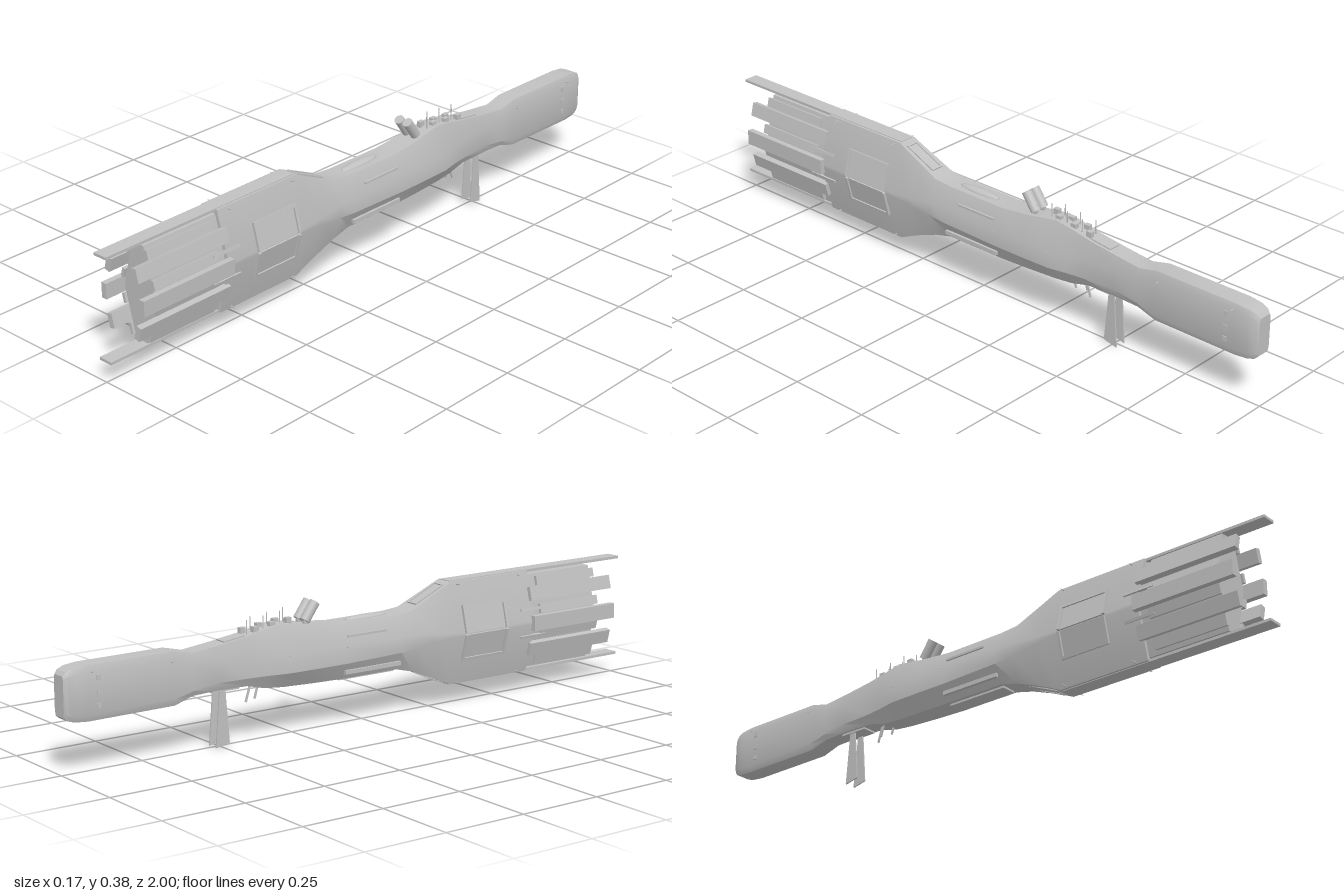
import * as THREE from 'three';
import { toCreasedNormals } from 'three/addons/utils/BufferGeometryUtils.js';

const hullGrey = new THREE.MeshStandardMaterial({ color: 0xc0c0c0 });
hullGrey.name = 'hull grey';

// Lofts eight-sided sections [z, top, bottom, topHalfWidth, midHalfWidth, shoulderY, hipY], front to back
function loft(sections) {
  const pos = [];
  const rings = sections.map(([z, t, b, wt, wm, sh, hip]) =>
    [[wt, t], [-wt, t], [-wm, sh], [-wm, hip], [-wt, b], [wt, b], [wm, hip], [wm, sh]].map(([x, y]) => [x, y, z]));
  const tri = (...p) => p.forEach(v => pos.push(...v));
  for (let r = 0; r < rings.length - 1; r++) {
    for (let i = 0; i < 8; i++) {
      const j = (i + 1) % 8, a = rings[r], b = rings[r + 1];
      tri(a[i], b[i], a[j]);
      tri(a[j], b[i], b[j]);
    }
  }
  const first = rings[0], last = rings[rings.length - 1];
  for (let i = 1; i < 7; i++) {
    tri(first[0], first[i], first[i + 1]);
    tri(last[0], last[i + 1], last[i]);
  }
  const g = new THREE.BufferGeometry();
  g.setAttribute('position', new THREE.Float32BufferAttribute(pos, 3));
  return toCreasedNormals(g, 0.45);
}

export function createModel() {
  const model = new THREE.Group();
  const add = (name, geo, x = 0, y = 0, z = 0, parent = model) => {
    const m = new THREE.Mesh(geo, hullGrey);
    m.name = name;
    m.position.set(x, y, z);
    parent.add(m);
    return m;
  };
  const box = (name, w, h, d, x, y, z, parent) => add(name, new THREE.BoxGeometry(w, h, d), x, y, z, parent);

  // Main hull: tall bow, slim waist, boxy rounded stern
  add('hull', loft([
    [0.61, 0.375, 0.062, 0.03, 0.07, 0.225, 0.215],
    [0.31, 0.375, 0.062, 0.03, 0.07, 0.225, 0.215],
    [0.25, 0.348, 0.09, 0.032, 0.066, 0.23, 0.21],
    [0.16, 0.308, 0.125, 0.036, 0.064, 0.24, 0.2],
    [0.10, 0.303, 0.14, 0.036, 0.064, 0.24, 0.195],
    [-0.10, 0.302, 0.14, 0.036, 0.064, 0.24, 0.19],
    [-0.20, 0.312, 0.142, 0.034, 0.064, 0.24, 0.19],
    [-0.30, 0.328, 0.145, 0.03, 0.062, 0.24, 0.19],
    [-0.36, 0.318, 0.15, 0.028, 0.05, 0.245, 0.19],
    [-0.42, 0.306, 0.165, 0.028, 0.042, 0.25, 0.19],
    [-0.52, 0.293, 0.167, 0.028, 0.037, 0.255, 0.19],
    [-0.60, 0.284, 0.164, 0.028, 0.036, 0.26, 0.18],
    [-0.66, 0.298, 0.146, 0.029, 0.036, 0.275, 0.165],
    [-0.93, 0.297, 0.144, 0.029, 0.036, 0.278, 0.162],
    [-0.97, 0.293, 0.147, 0.027, 0.034, 0.276, 0.164],
    [-0.99, 0.286, 0.153, 0.024, 0.03, 0.272, 0.168],
    [-1.0, 0.275, 0.162, 0.02, 0.024, 0.265, 0.175],
  ]));

  // Recessed inner bow between the armour bars
  add('bowCore', loft([
    [0.87, 0.362, 0.072, 0.022, 0.058, 0.222, 0.216],
    [0.60, 0.362, 0.072, 0.022, 0.058, 0.222, 0.216],
  ]));

  // Long keel strips above and below the bow
  for (const [name, y] of [['upperStrip', 0.373], ['lowerStrip', 0.064]]) {
    box(name, 0.046, 0.008, 0.69, 0, y, 0.655);
  }

  // Plate lying on the sloping bow side, spanning y0..y1 and z0..z1
  const sidePlate = (name, side, y0, y1, z0, z1, thick, lift = 0) => {
    const y = (y0 + y1) / 2, d = y - 0.22, flat = Math.abs(d) < 0.005;
    const x = 0.07 - Math.abs(d) * 0.253 + lift;
    const m = box(name, thick, (y1 - y0) * 1.03, z1 - z0, side * x, y, (z0 + z1) / 2);
    m.rotation.z = flat ? 0 : side * Math.sign(d) * 0.248;
  };

  for (const s of [1, -1]) {
    // Projecting armour bars and the lower plates between them
    for (const [y0, y1] of [[0.286, 0.327], [0.197, 0.242], [0.116, 0.157]]) {
      sidePlate('armourBar', s, y0, y1, 0.60, 0.93, 0.018, 0.004);
    }
    for (const [y0, y1] of [[0.328, 0.355], [0.245, 0.272], [0.168, 0.195], [0.082, 0.114]]) {
      sidePlate('armourPlate', s, y0, y1, 0.64, 0.875, 0.01, -0.002);
    }
    for (const y of [0.262, 0.178]) sidePlate('barRoot', s, y - 0.004, y + 0.004, 0.56, 0.66, 0.008, 0.002);

    // Folded side hatch with raised rims
    for (const [y0, y1, rim] of [[0.222, 0.304, 0.3], [0.138, 0.218, 0.142]]) {
      sidePlate('sideHatch', s, y0, y1, 0.345, 0.49, 0.006, 0.002);
      sidePlate('hatchRim', s, rim - 0.004, rim + 0.004, 0.335, 0.5, 0.012, 0.003);
      for (const z of [0.335, 0.492]) sidePlate('hatchRim', s, y0, y1, z, z + 0.008, 0.012, 0.003);
    }

    // Waist side rails and stern fittings
    box('waistRail', 0.01, 0.012, 0.2, s * 0.054, 0.163, 0);
    box('upperRail', 0.006, 0.006, 0.14, s * 0.055, 0.268, -0.02);
    for (const y of [0.185, 0.22, 0.262]) box('sternFitting', 0.006, 0.014, 0.012, s * 0.036, y, -0.9);
    for (const [z, x, y] of [[0.57, 0.035, 0.367], [0.57, 0.035, 0.067], [0.33, 0.035, 0.367], [0.33, 0.035, 0.067],
      [-0.1, 0.058, 0.24], [-0.3, 0.055, 0.24], [-0.67, 0.034, 0.27], [-0.92, 0.034, 0.28]]) {
      const spike = add('sideSpike', new THREE.ConeGeometry(0.003, 0.022, 6), s * (x + 0.005), y, z);
      spike.rotation.z = -s * Math.PI / 2;
    }

    // Hanging vane, wider toward its lower end
    const vane = new THREE.Shape([[0.488, 0.17], [0.475, 0.01], [0.52, 0], [0.506, 0.17]]
      .map(([z, y]) => new THREE.Vector2(z, y)));
    const v = add('hangingVane', new THREE.ExtrudeGeometry(vane, { depth: 0.004, bevelEnabled: false }), s * 0.017 - 0.002);
    v.rotation.y = Math.PI / 2;

    // Twin tilted launch tubes
    const tube = add('launchTube', new THREE.CylinderGeometry(0.015, 0.015, 0.062, 20), s * 0.016, 0.348, -0.196);
    tube.rotation.x = 0.62;
    box('tubeMount', 0.008, 0.04, 0.014, s * 0.016, 0.322, -0.212);
  }

  // Framed hatches on the bow's rear slopes
  for (const [name, y, tilt] of [['upperSlopeHatch', 0.34, -0.42], ['lowerSlopeHatch', 0.098, 0.42]]) {
    const hatch = new THREE.Group();
    hatch.name = name;
    hatch.position.set(0, y, 0.24);
    hatch.rotation.x = tilt;
    for (const s of [1, -1]) {
      box('frameSide', 0.005, 0.014, 0.11, s * 0.018, 0, 0, hatch);
      box('frameEnd', 0.041, 0.014, 0.005, 0, 0, s * 0.055, hatch);
    }
    box('hatchPanel', 0.036, 0.008, 0.11, 0, 0, 0, hatch);
    model.add(hatch);
  }

  // Dorsal blister and belly panel
  const blister = add('dorsalBlister', new THREE.SphereGeometry(1, 20, 12), 0, 0.302, 0.015);
  blister.scale.set(0.018, 0.01, 0.075);
  box('bellyPanel', 0.05, 0.008, 0.2, 0, 0.138, 0);

  // Bridge deck machinery behind the tubes
  box('deckPlate', 0.04, 0.006, 0.07, 0, 0.302, -0.455).rotation.x = -0.13;
  for (let i = 0; i < 6; i++) {
    const s = i % 2 ? 1 : -1, z = -0.27 - i * 0.028;
    box('deckBlock', 0.014, 0.024, 0.018, s * 0.012, 0.328 - i * 0.003, z);
    add('deckMast', new THREE.CylinderGeometry(0.0015, 0.002, 0.045, 6), -s * 0.012, 0.342 - i * 0.003, z);
  }

  // Belly aerials
  for (const [x, z, h] of [[0.012, -0.36, 0.03], [-0.012, -0.38, 0.04], [0, -0.4, 0.05]]) {
    box('bellyAerial', 0.004, h, 0.006, x, 0.16 - h / 2, z).rotation.x = 0.3;
  }
  box('vaneMount', 0.045, 0.012, 0.09, 0, 0.166, -0.49);

  return model;
}
